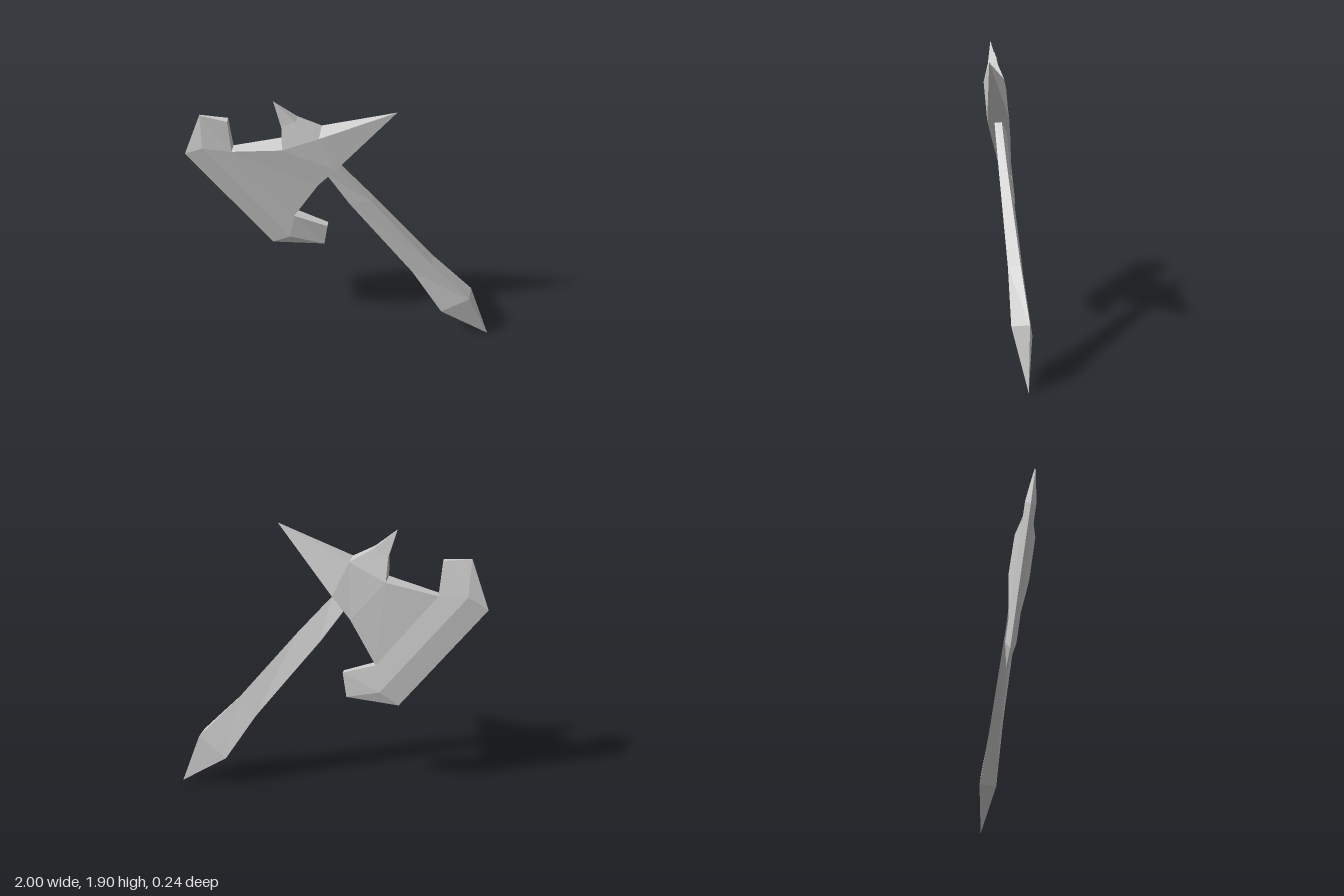
import * as THREE from 'three';

// Flat-shaded mesh from polygons (lists of [x, y, z] corners, counter-clockwise from outside)
function facetMesh(name, polygons) {
  const pos = [];
  for (const p of polygons)
    for (let i = 1; i < p.length - 1; i++) pos.push(...p[0], ...p[i], ...p[i + 1]);
  const geo = new THREE.BufferGeometry();
  geo.setAttribute('position', new THREE.Float32BufferAttribute(pos, 3));
  geo.computeVertexNormals();
  const mesh = new THREE.Mesh(geo, new THREE.MeshStandardMaterial({ color: 0xcccccc, flatShading: true }));
  mesh.name = name;
  return mesh;
}

// Axe head outline: [x, y, half thickness], mirrored about one slanted middle plane
const P = {
  T: [0.333, 1.88, 0],                                   // big rear spike tip
  K1: [-0.135, 1.685, 0.066], K2: [-0.03, 1.45, 0.07],   // socket, spike side
  J1: [-0.365, 1.573, 0.066], J2: [-0.145, 1.305, 0.06], // socket, blade side
  M1: [-0.28, 1.775, 0.03], M0: [-0.37, 1.725, 0.03],    // top spike middle
  S: [-0.42, 1.9, 0],                                    // top spike tip
  N1: [-0.69, 1.503, 0.032], N2: [-0.31, 1.0, 0.032],    // blade neck
  H1: [-0.708, 1.73, 0.02], H0: [-0.883, 1.752, 0.004],  // upper horn
  E1: [-1, 1.43, 0], E2: [-0.462, 0.722, 0],             // cutting edge
  R1: [-0.875, 1.515, 0.035], R2: [-0.34, 0.815, 0.035], // bevel ridge
  L0: [-0.12, 0.745, 0.004], L1: [-0.096, 0.92, 0.02],   // lower horn
};
const B = 0.113, C = 0.121;
function headPoint(key, side) {
  const [x, y, t] = P[key];
  const d = side * t;
  return [x - B * d, y - C * d, -0.15 + B * x + C * y + d];
}

function createHead() {
  const faces = ['H0 E1 R1', 'H0 R1 N1 H1', 'E1 E2 R2 R1', 'R1 R2 N2 N1', 'E2 L0 R2', 'L0 L1 N2 R2',
    'N1 N2 J2 J1', 'J1 J2 K2 K1', 'K1 K2 T', 'J1 K1 M1 M0', 'M0 M1 S'].map((f) => f.split(' '));
  const rim = 'T K1 M1 S M0 J1 N1 H1 H0 E1 E2 L0 L1 N2 J2 K2'.split(' ');
  const polygons = [];
  for (const f of faces) {
    polygons.push(f.map((k) => headPoint(k, 1)));
    polygons.push([...f].reverse().map((k) => headPoint(k, -1)));
  }
  // Side walls joining front and back; a pointed end needs only a triangle
  rim.forEach((a, i) => {
    const b = rim[(i + 1) % rim.length];
    const wall = [headPoint(a, 1)];
    if (P[a][2] > 0) wall.push(headPoint(a, -1));
    wall.push(headPoint(b, -1));
    if (P[b][2] > 0) wall.push(headPoint(b, 1));
    if (wall.length > 2) polygons.push(wall);
  });
  return facetMesh('axeHead', polygons);
}

// Four-sided handle, swelling into a pointed pommel
function createHandle() {
  const rings = [
    [[-0.105, 1.355, 0.005], [-0.03, 1.43, 0.046], [-0.02, 1.435, 0], [-0.095, 1.355, -0.04]],
    [[0.045, 1.12, 0], [0.185, 1.17, 0.042], [0.2, 1.175, -0.012], [0.06, 1.125, -0.047]],
    [[0.465, 0.56, -0.01], [0.585, 0.66, 0.029], [0.603, 0.67, -0.048], [0.48, 0.565, -0.08]],
    [[0.67, 0.23, 0], [0.85, 0.37, 0.038], [0.868, 0.38, -0.073], [0.685, 0.24, -0.112]],
  ];
  const tip = [1, 0, -0.05];
  const polygons = [rings[0]];
  rings.forEach((ring, i) => {
    const next = rings[i + 1];
    for (let k = 0; k < 4; k++) {
      const m = (k + 1) % 4;
      polygons.push(next ? [ring[k], next[k], next[m], ring[m]] : [ring[k], tip, ring[m]]);
    }
  });
  return facetMesh('handle', polygons);
}

export function createModel() {
  const axe = new THREE.Group();
  axe.name = 'battleAxe';
  axe.add(createHead(), createHandle());
  return axe;
}
